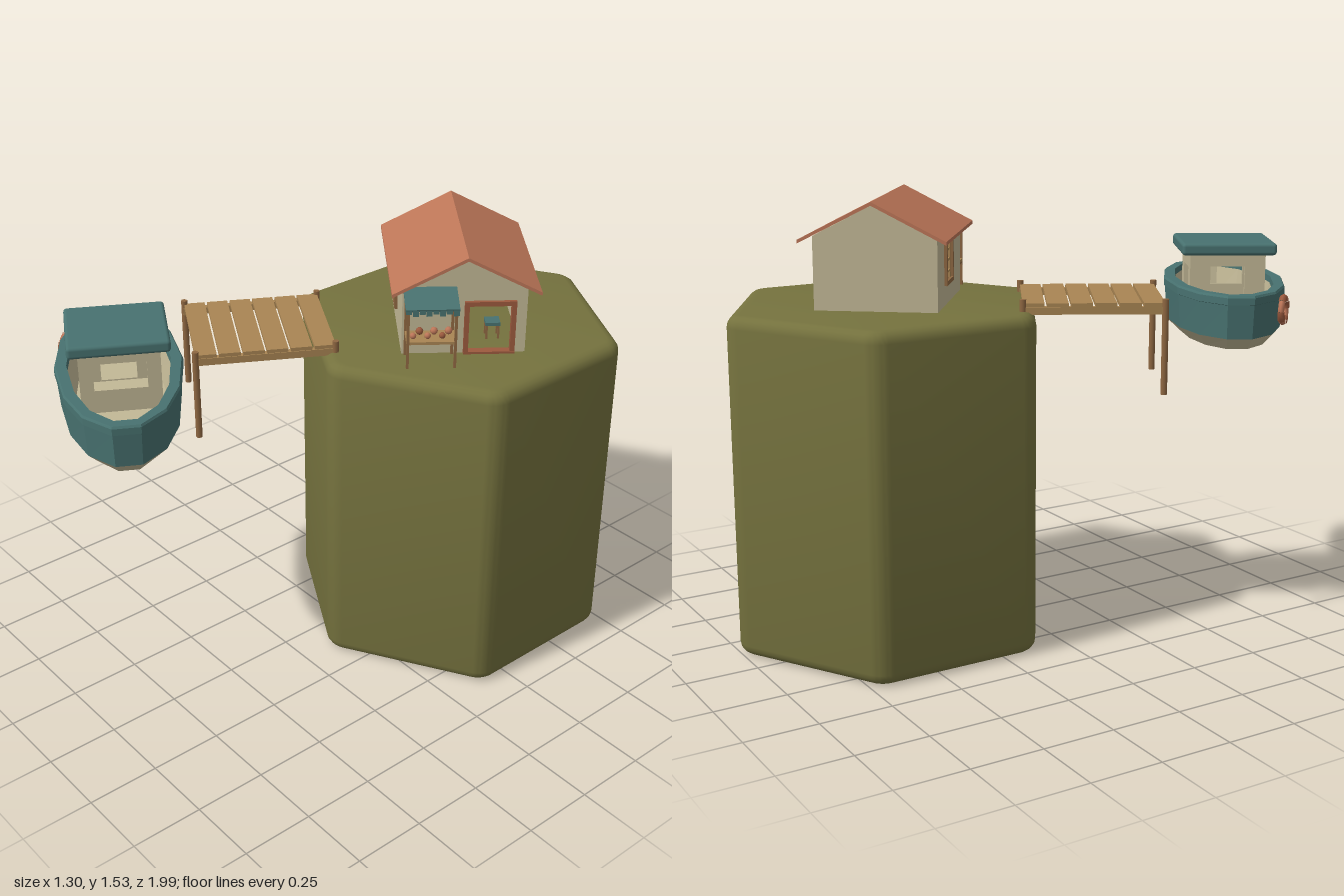
import * as THREE from 'three';
import { toCreasedNormals } from 'three/addons/utils/BufferGeometryUtils.js';
import { RoundedBoxGeometry } from 'three/addons/geometries/RoundedBoxGeometry.js';

const mat = (name, color, extra = {}) => {
  const m = new THREE.MeshStandardMaterial({ color, ...extra });
  m.name = name;
  return m;
};

export function createModel() {
  const grass = mat('olive grass', 0x75723e);
  const cream = mat('cream wall', 0xc2b896);
  const tile = mat('terracotta', 0xbd7658);
  const teal = mat('teal paint', 0x487270);
  const wood = mat('dock wood', 0xa98553);
  const brown = mat('brown timber', 0x8f6842);
  const red = mat('red timber', 0x9c5a3e);

  const root = new THREE.Group();
  const group = (name, parent, x = 0, y = 0, z = 0, ry = 0) => {
    const g = new THREE.Group();
    g.name = name;
    g.position.set(x, y, z);
    g.rotation.y = ry;
    parent.add(g);
    return g;
  };
  const add = (parent, name, geo, m, x = 0, y = 0, z = 0) => {
    const mesh = new THREE.Mesh(geo, m);
    mesh.name = name;
    mesh.position.set(x, y, z);
    parent.add(mesh);
    return mesh;
  };
  const box = (parent, name, m, w, h, d, x, y, z) =>
    add(parent, name, new THREE.BoxGeometry(w, h, d), m, x, y, z);

  // Rectangular opening [x0, y0, x1, y1]
  const hole = ([x0, y0, x1, y1]) => new THREE.Path([
    [x0, y0], [x0, y1], [x1, y1], [x1, y0]].map(p => new THREE.Vector2(...p)));
  // Upright wall panel with openings and an optional gable peak
  const panel = (parent, name, half, h, dist, ry, holes, peak) => {
    const t = 0.012;
    const pts = [[-half, 0], [half, 0], [half, h]];
    if (peak) pts.push([0, peak]);
    pts.push([-half, h]);
    const s = new THREE.Shape(pts.map(p => new THREE.Vector2(...p)));
    holes.forEach(o => s.holes.push(hole(o)));
    const g = group(name, parent, 0, 0, 0, ry);
    add(g, name + 'Panel', new THREE.ExtrudeGeometry(s, { depth: t, bevelEnabled: false }), cream, 0, 0, dist - t);
    return g;
  };

  // Rounded hexagonal island
  const hex = new THREE.Shape();
  const corner = 0.045, reach = (0.465 - corner) / Math.cos(Math.PI / 6);
  for (let i = 0; i < 6; i++) {
    const a = Math.PI / 6 + i * Math.PI / 3;
    hex.absarc(reach * Math.cos(a), reach * Math.sin(a), corner, a - Math.PI / 6, a + Math.PI / 6, false);
  }
  const rock = new THREE.ExtrudeGeometry(hex, {
    depth: 1.09, bevelSize: 0.04, bevelThickness: 0.04, bevelSegments: 4, curveSegments: 5 });
  rock.rotateX(-Math.PI / 2);
  add(root, 'island', toCreasedNormals(rock, 0.55), grass, 0.135, 0.045, -0.43);

  // House: local +z is the gable front
  const house = group('house', root, 0.1525, 1.175, -0.407, 0.911);
  const a = 0.207, b = 0.239, eave = 0.246;
  const front = panel(house, 'frontWall', a, eave, b, 0, [[0.012, 0.006, 0.158, 0.18]], 0.352);
  panel(house, 'backWall', a, eave, b, Math.PI, [], 0.352);
  for (const side of [1, -1]) {
    const cx = side * 0.034, hw = 0.064, y0 = 0.074, y1 = 0.216;
    const w = panel(house, 'sideWall', b, eave, a, side * Math.PI / 2, [[cx - hw, y0, cx + hw, y1]]);
    const win = group('windowFrame', w, cx, 0, a);
    for (const s of [1, -1]) {
      box(win, 'windowJamb', brown, 0.014, 0.156, 0.02, s * hw, 0.145, 0);
      box(win, 'sashStile', wood, 0.012, 0.142, 0.012, s * (hw - 0.018), 0.145, -0.004);
      box(win, 'windowRail', brown, 0.14, 0.014, 0.02, 0, s > 0 ? y1 : y0, 0);
    }
    box(win, 'mullion', wood, 0.008, 0.142, 0.01, 0, 0.145, -0.004);
    for (const y of [0.105, 0.145, 0.18]) box(win, 'glazingBar', wood, 0.12, 0.008, 0.01, 0, y, -0.004);
  }
  const roof = new THREE.Shape([[-0.245, 0.228], [0, 0.353], [0.245, 0.228], [0.245, 0.24], [0, 0.365], [-0.245, 0.24]]
    .map(p => new THREE.Vector2(...p)));
  add(house, 'houseRoof', new THREE.ExtrudeGeometry(roof, { depth: 0.58, bevelEnabled: false }), tile, 0, 0, -0.29);

  // Door frame and threshold
  for (const x of [0.007, 0.163]) box(front, 'doorJamb', red, 0.016, 0.19, 0.024, x, 0.095, b);
  box(front, 'doorHeader', red, 0.172, 0.016, 0.024, 0.085, 0.182, b);
  box(front, 'threshold', red, 0.172, 0.008, 0.03, 0.085, 0.004, b);
  // Stool inside the doorway
  box(house, 'stoolSeat', teal, 0.05, 0.012, 0.05, 0.11, 0.055, 0.12);
  for (const x of [-0.02, 0.02]) for (const z of [-0.02, 0.02])
    box(house, 'stoolLeg', brown, 0.007, 0.05, 0.007, 0.11 + x, 0.025, 0.12 + z);

  // Market stall beside the door
  const stall = group('stall', house, -0.117, 0, b);
  const awning = box(stall, 'awning', teal, 0.176, 0.008, 0.12, 0, 0.226, 0.058);
  awning.rotation.x = 0.23;
  for (let i = 0; i < 8; i++)
    box(stall, 'awningScallop', teal, 0.019, i % 2 ? 0.022 : 0.015, 0.005, -0.077 + i * 0.022, i % 2 ? 0.203 : 0.2065, 0.114);
  for (const x of [-0.078, 0.078]) {
    box(stall, 'stallPost', brown, 0.009, 0.212, 0.009, x, 0.106, 0.106);
    box(stall, 'stallBackPost', brown, 0.009, 0.225, 0.009, x, 0.112, 0.006);
    box(stall, 'counterBrace', brown, 0.007, 0.008, 0.1, x, 0.083, 0.056);
  }
  box(stall, 'counter', wood, 0.165, 0.01, 0.085, 0, 0.092, 0.068);
  for (let i = 0; i < 6; i++)
    add(stall, 'fruit', new THREE.SphereGeometry(i % 2 ? 0.013 : 0.011, 8, 6), i % 3 === 1 ? red : tile,
      -0.06 + i * 0.024, 0.108, i % 2 ? 0.05 : 0.085);

  // Dock: planks on two beams and four corner posts
  const dock = group('dock', root, -0.226, 0, 0.166, -Math.PI / 6);
  for (let i = 0; i < 6; i++) box(dock, 'plank', wood, 0.4, 0.014, 0.072, 0, 1.195, -0.2 + i * 0.08);
  for (const x of [-0.193, 0.193]) {
    box(dock, 'beam', wood, 0.02, 0.025, 0.48, x, 1.177, 0);
    for (const z of [-0.235, 0.235])
      add(dock, 'dockPost', new THREE.CylinderGeometry(0.011, 0.011, 0.322, 8), brown, x * 1.03, 1.054, z);
  }

  // Boat: local x runs along the hull
  const boat = group('boat', root, -0.266, 0, 0.704, -Math.PI / 6);
  const quarter = [[0.425, 0.045], [0.34, 0.13], [0.2, 0.184]];
  const halfLine = [...quarter, [0, 0.209], ...quarter.map(([u, v]) => [-u, v]).reverse()];
  const outline = [...halfLine, ...halfLine.map(([u, v]) => [-u, -v])];
  // Faceted bands between rings [inset, y]; a null inset closes on the centre
  const bands = (name, m, rings) => {
    const pos = [];
    const pt = ([d, y], i) => {
      const [u, v] = outline[i % outline.length];
      return d === null ? [0, y, 0] : [u * (1 - d / 0.425), y, v * (1 - d / 0.209)];
    };
    for (let r = 0; r + 1 < rings.length; r++) for (let i = 0; i < outline.length; i++) {
      const p = pt(rings[r], i), q = pt(rings[r], i + 1), P = pt(rings[r + 1], i), Q = pt(rings[r + 1], i + 1);
      if (rings[r][0] !== null) pos.push(...p, ...P, ...q);
      if (rings[r + 1][0] !== null) pos.push(...q, ...P, ...Q);
    }
    const geo = new THREE.BufferGeometry();
    geo.setAttribute('position', new THREE.Float32BufferAttribute(pos, 3));
    geo.computeVertexNormals();
    add(boat, name, geo, m);
  };
  bands('hullBottom', cream, [[null, 1.033], [0.055, 1.033], [0.012, 1.075]]);
  bands('hullSide', teal, [[0.012, 1.075], [0.004, 1.19], [0, 1.192], [0, 1.215], [0.005, 1.222], [0.04, 1.222], [0.042, 1.2]]);
  bands('deck', cream, [[0.042, 1.2], [0.062, 1.1], [null, 1.1]]);

  // Cabin with open windows and a rear doorway
  const cabin = group('cabin', boat, 0, 1.1, 0);
  const cu = 0.111, cv = 0.131, ch = 0.222;
  panel(cabin, 'cabinSide', cu, ch, cv, 0, [[-0.058, 0.08, 0.055, 0.166]]);
  panel(cabin, 'cabinSide', cu, ch, cv, Math.PI, [[-0.055, 0.08, 0.058, 0.166]]);
  panel(cabin, 'cabinFront', cv, ch, cu, Math.PI / 2, [[-0.086, 0.08, 0.086, 0.174]]);
  panel(cabin, 'cabinBack', cv, ch, cu, -Math.PI / 2, [[-0.06, 0.005, 0.06, 0.174]]);
  add(boat, 'cabinRoof', new RoundedBoxGeometry(0.3, 0.042, 0.328, 2, 0.012), teal, 0, 1.337, 0);

  // Life ring on the hull side
  const ring = group('lifeRing', boat, -0.277, 1.15, 0.168, Math.atan2(-0.36, 0.93));
  for (let i = 0; i < 8; i++) {
    const seg = add(ring, 'ringSegment', new THREE.TorusGeometry(0.042, i % 2 ? 0.011 : 0.013, 6, 3, Math.PI / 4), i % 2 ? tile : red);
    seg.rotation.z = i * Math.PI / 4;
  }
  return root;
}
